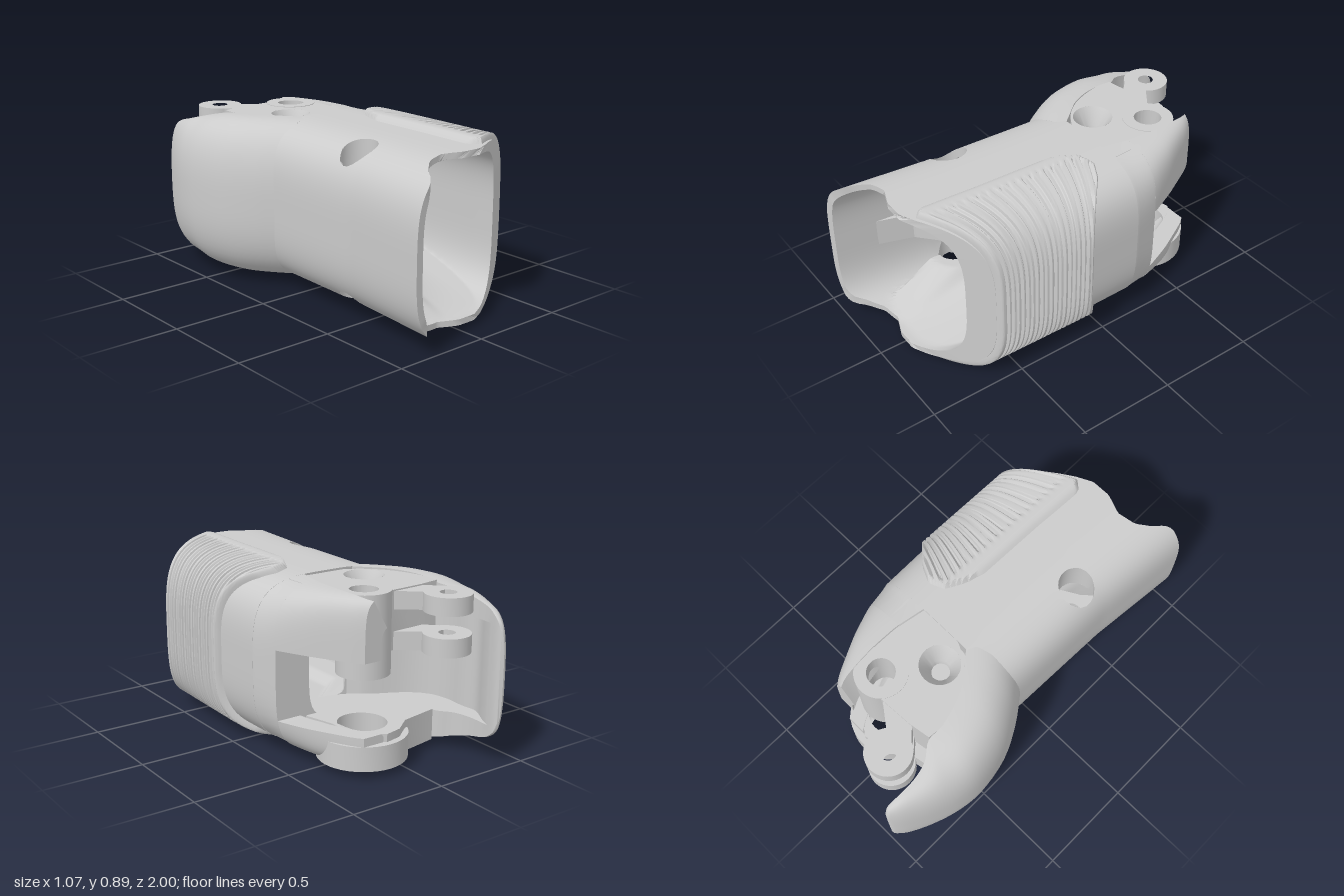
import * as THREE from 'three';
import { toCreasedNormals } from 'three/addons/utils/BufferGeometryUtils.js';

const YC = 0.445, N = 3.6, TAU = Math.PI * 2;
const mat = new THREE.MeshStandardMaterial({ color: 0xcccccc });
const matDouble = new THREE.MeshStandardMaterial({ color: 0xcccccc, side: THREE.DoubleSide });
const { lerp, clamp, smoothstep: smooth } = THREE.MathUtils;

// piecewise linear curve through [key, value] pairs
function look(table, k) {
  if (k <= table[0][0]) return table[0][1];
  for (let i = 1; i < table.length; i++) {
    const [k0, v0] = table[i - 1], [k1, v1] = table[i];
    if (k <= k1) return lerp(v0, v1, (k - k0) / (k1 - k0));
  }
  return table[table.length - 1][1];
}

// side limits along z, and the wavy front rim along x
const LEFT_EDGE = [[-0.1, -0.35], [0.5, -0.37], [1, -0.42]];
const RIGHT_EDGE = [[-0.75, 0.24], [-0.7, 0.28], [-0.5, 0.39], [-0.35, 0.46], [-0.2, 0.5], [0.1, 0.505], [0.6, 0.495]];
const RIM = [[-0.375, 1], [-0.31, 0.99], [-0.28, 0.965], [-0.25, 0.91], [-0.19, 0.85], [-0.1, 0.83], [0, 0.87], [0.1, 0.87], [0.18, 0.83], [0.5, 0.63]];

// rounded cross-section at z, squarer to the rear: insets from left, right and top/bottom
function section(z, l = 0, r = 0, t = 0) {
  const x0 = look(LEFT_EDGE, z) + l, x1 = look(RIGHT_EDGE, z) - r;
  return { cx: (x0 + x1) / 2, a: (x1 - x0) / 2, b: 0.415 - t, n: N + 4 * smooth(-z, 0.2, 0.74) };
}
function onSection(s, phi, scale = 1) {
  const c = Math.cos(phi), d = Math.sin(phi);
  const r = scale * Math.pow(Math.abs(c) ** s.n + Math.abs(d) ** s.n, -1 / s.n);
  return [s.cx + s.a * r * c, YC + s.b * r * d];
}
function heightAt(s, x, sign) {
  const u = Math.min(1, Math.abs((x - s.cx) / s.a));
  return YC + sign * s.b * Math.pow(1 - u ** s.n, 1 / s.n);
}

// skin over rows of points; cut points leave an opening
function skin(name, rows, closed, crease = 0.6) {
  const w = rows[0].length, pos = [], idx = [];
  rows.forEach(r => r.forEach(p => pos.push(p.x, p.y, p.z)));
  for (let i = 0; i < rows.length - 1; i++) for (let j = 0; j < (closed ? w : w - 1); j++) {
    const k = (j + 1) % w;
    if ([rows[i][j], rows[i][k], rows[i + 1][j], rows[i + 1][k]].every(p => p.cut)) continue;
    const a = i * w + j, b = i * w + k, c = a + w, d = b + w;
    idx.push(a, c, b, b, c, d);
  }
  const g = new THREE.BufferGeometry();
  g.setAttribute('position', new THREE.Float32BufferAttribute(pos, 3));
  g.setIndex(idx);
  const m = new THREE.Mesh(toCreasedNormals(g, crease), matDouble);
  m.name = name;
  return m;
}
// end cap: folds a loop of points onto its middle line
const fold = row => row.map((p, j) => p.clone().lerp(row[row.length - 1 - j], 0.5));

// flat part drawn in plan as [x, z] points, with [x, z, radius] holes
function plate(name, outline, y0, y1, holes = []) {
  const s = new THREE.Shape(outline.map(([x, z]) => new THREE.Vector2(x, -z)));
  for (const [x, z, r] of holes) s.holes.push(new THREE.Path().absarc(x, -z, r, 0, TAU, true));
  const g = new THREE.ExtrudeGeometry(s, { depth: y1 - y0, bevelEnabled: false, curveSegments: 32 });
  g.rotateX(-Math.PI / 2).translate(0, y0, 0);
  const m = new THREE.Mesh(toCreasedNormals(g, 0.5), mat);
  m.name = name;
  return m;
}
function arc(x, z, r, a0, a1, steps) {
  return Array.from({ length: steps }, (_, i) => {
    const a = lerp(a0, a1, i / (steps - 1));
    return [x + r * Math.cos(a), z + r * Math.sin(a)];
  });
}
function ring(name, x, z, r, hole, y0, y1) {
  return plate(name, arc(x, z, r, 0, TAU * 0.975, 40), y0, y1, [[x, z, hole]]);
}

// cavity roof and floor: tall channel on the left, thick at the pin, long ramps to the right
function thicken(x, y, z) {
  const end = lerp(0.55, 0.2, smooth(x, -0.2, 0.2));
  const thin = lerp(0.215, 0.25, smooth(x, -0.1, -0.03));
  const ramp = lerp(thin, 0.385, clamp((z - end) / (0.83 - end), 0, 1));
  const half = lerp(0.385, ramp, smooth(x, -0.285, -0.235));
  return clamp(y, YC - half, YC + half);
}

// hollow sleeve with a pin hole through top and bottom
const PIN = { x: -0.23, z: 0.41, r: 0.09 };
function sleeve(group) {
  const rows = [], T = 44, U = 160;
  const insets = [[0, 0, 0], [0.04, 0.13, 0.03]];
  const makeRow = (t, inset) => Array.from({ length: U }, (_, j) => {
    const phi = j / U * TAU, inside = inset[0] > 0;
    const rim = look(RIM, onSection(section(0.6, ...inset), phi)[0]);
    const z = lerp(rim, inside ? -0.05 : -0.2, t);
    const [x, y] = onSection(section(z, ...inset), phi);
    const p = new THREE.Vector3(x, y, z), d = Math.hypot(x - PIN.x, z - PIN.z);
    if (d < PIN.r) {
      p.x = PIN.x + (x - PIN.x) / (d || 1) * PIN.r;
      p.z = PIN.z + (z - PIN.z) / (d || 1) * PIN.r;
      p.y = heightAt(section(p.z, ...inset), p.x, Math.sign(y - YC));
      p.cut = true;
    }
    if (inside) p.y = thicken(p.x, p.y, p.z);
    return p;
  });
  for (let i = 0; i <= T; i++) rows.push(makeRow(i / T, insets[0]));
  // rear opening, narrower than the cavity
  const mouth = { cx: 0.15, a: 0.21, b: 0.25, n: 12 };
  rows.push(Array.from({ length: U }, (_, j) => new THREE.Vector3(...onSection(mouth, j / U * TAU), -0.18)));
  for (let i = T; i >= 0; i--) rows.push(makeRow(i / T, insets[1]));
  rows.push(rows[0]);
  group.add(skin('sleeve', rows, true));
  for (const sign of [1, -1]) {
    const wall = insets.map(inset => arc(PIN.x, PIN.z, PIN.r, 0, TAU * 0.975, 40).map(([x, z]) => {
      const y = heightAt(section(z, ...inset), x, sign);
      return new THREE.Vector3(x, inset[0] ? thicken(x, y, z) : y, z);
    }));
    group.add(skin('pinHoleWall', wall, true));
  }
}

// raised grip pad with fanned ribs wrapping round the right side
function grip() {
  const back = [[0.1, 0.2], [0.15, 0.03], [0.2, -0.06], [0.28, -0.09], [0.36, -0.05], [0.5, 0.08]];
  const front = [[0.1, 0.7], [0.13, 0.79], [0.17, 0.825], [0.5, 0.635]];
  const ribBack = [[0.15, -0.03], [0.5, 0.11]], ribFront = [[0.15, 0.8], [0.5, 0.615]];
  const V = 190, U = 96, ribs = 19, rows = [];
  for (let i = 0; i <= V; i++) {
    const w = lerp(-0.12, 1.18, i / V), row = [];
    for (let j = 0; j <= U; j++) {
      const u = j / U, phi = lerp(1.46, -1.46, u), eu = Math.min(u, 1 - u);
      const x0 = onSection(section(0.3), phi)[0], zf = look(front, x0), zb = look(back, x0);
      const z = clamp(lerp(look(ribFront, x0), look(ribBack, x0), w), zb, zf), ez = Math.min(zf - z, z - zb);
      const edge = Math.sqrt(smooth(eu, 0, 0.03) * smooth(ez, 0, 0.025));
      const field = smooth(eu, 0.055, 0.085) * smooth(ez, 0.025, 0.05);
      const wave = 0.5 + 0.5 * Math.cos(w * ribs * TAU);
      const off = -0.006 + 0.036 * edge - 0.016 * field * smooth(wave, 0.3, 0.85);
      row.push(new THREE.Vector3(...onSection(section(z), phi, 1 + off / 0.42), z));
    }
    rows.push(row);
  }
  return skin('ribbedGrip', rows, false, 0.5);
}

// curved wall strip behind the sleeve on the right; angle ranges are functions of z
const SHOULDER = [[-0.74, 0.85], [-0.17, 1.3]];
function rearWall(name, from, to, z0, z1, thick) {
  const rows = [], S = 14, P = 24;
  for (let i = 0; i <= S; i++) {
    const z = lerp(z0, z1, i / S), s = section(z), inner = { ...s, a: s.a - thick, b: s.b - 0.14 };
    const row = [], angle = j => lerp(from(z), to(z), j / P);
    for (let j = 0; j <= P; j++) row.push(new THREE.Vector3(...onSection(s, angle(j)), z));
    const ys = row.map(p => p.y), low = Math.min(...ys), high = Math.max(...ys);
    for (let j = P; j >= 0; j--) {
      const [x, y] = onSection(inner, angle(j));
      row.push(new THREE.Vector3(x, clamp(y, low, high), z));
    }
    rows.push(row);
  }
  return skin(name, [fold(rows[0]), ...rows, fold(rows[S])], true);
}

// horn-shaped guard on the left with a pocket: [outer x, z, inner x, z, half height]
function horn() {
  const keys = [
    [-0.34, -0.08, -0.06, -0.17, 0.41], [-0.42, -0.19, -0.125, -0.25, 0.412], [-0.5, -0.35, -0.21, -0.36, 0.412],
    [-0.535, -0.55, -0.265, -0.52, 0.405], [-0.525, -0.67, -0.27, -0.63, 0.39], [-0.5, -0.76, -0.325, -0.71, 0.37],
    [-0.46, -0.86, -0.345, -0.8, 0.345], [-0.41, -0.95, -0.342, -0.91, 0.315], [-0.37, -0.995, -0.335, -0.97, 0.27], [-0.355, -1, -0.34, -0.99, 0.22]];
  const outer = new THREE.CatmullRomCurve3(keys.map(k => new THREE.Vector3(k[0], k[4], k[1])));
  const inner = new THREE.CatmullRomCurve3(keys.map(k => new THREE.Vector3(k[2], 0, k[3])));
  const rows = [], S = 36;
  for (let i = 0; i <= S; i++) {
    const p = outer.getPoint(i / S), q = inner.getPoint(i / S);
    const at = (k, y) => new THREE.Vector3(lerp(q.x, p.x, k), y, lerp(q.z, p.z, k));
    const row = [];
    for (let j = 0; j <= 36; j++) row.push(at(...onSection({ cx: 0, a: 1, b: p.y, n: 2.8 }, lerp(-Math.PI / 2, Math.PI / 2, j / 36))));
    const depth = 0.6 * smooth(i / S, 0.1, 0.3) * (1 - smooth(i / S, 0.55, 0.85)), h = Math.min(0.25, p.y * 0.8);
    row.push(at(0, YC + h), at(depth, YC + h), at(depth, YC - h), at(0, YC - h));
    rows.push(row);
  }
  return skin('hornGuard', [fold(rows[0]), ...rows, fold(rows[S])], true);
}

export function createModel() {
  const model = new THREE.Group();
  sleeve(model);
  model.add(grip(), horn());
  const top = z => look(SHOULDER, z), bottom = z => -top(z);
  model.add(rearWall('rearWallFront', top, bottom, -0.17, -0.34, 0.19));
  model.add(rearWall('rearWallUpper', top, () => 0.27, -0.34, -0.74, 0.09));
  model.add(rearWall('rearWallLower', () => -0.53, bottom, -0.34, -0.74, 0.09));

  // hinge plates above and below the clearance space
  const HX = 0.12, HZ = -0.56;
  const base = [...arc(HX, HZ, 0.39, 3.3, 1.1, 20), [0.29, -0.35], [0.25, -0.5]];
  model.add(plate('upperHingePlate', [...base, [0.22, -0.6], [0.19, -0.66], [0.12, -0.685], [0.03, -0.65], [-0.15, -0.64]],
    0.56, 0.849, [[HX, HZ, 0.07], [-0.05, -0.34, 0.1]]));
  model.add(plate('lowerHingePlate', [...base, [0.25, -0.56], [0.22, -0.68], [0.12, -0.75], [0.03, -0.73], [-0.06, -0.66]],
    0.041, 0.2, [[HX, HZ, 0.12]]));
  model.add(ring('hingeBoss', HX, HZ, 0.13, 0.07, 0.45, 0.852));
  model.add(ring('lowerHingeDisc', HX, HZ, 0.22, 0.12, 0.038, 0.16));

  // countersunk screw seat
  const cup = new THREE.LatheGeometry([[0, 0.735], [0.045, 0.735], [0.05, 0.765], [0.1, 0.849]].map(p => new THREE.Vector2(...p)), 32);
  const seat = new THREE.Mesh(toCreasedNormals(cup, 0.5), matDouble);
  seat.position.set(-0.05, 0, -0.34);
  seat.name = 'screwSeat';
  model.add(seat);

  // pair of small lugs carried on arms from the hinge
  for (const [y0, y1] of [[0.755, 0.842], [0.56, 0.65]]) {
    model.add(ring('lug', -0.18, -0.8, 0.115, 0.04, y0, y1));
    model.add(plate('lugArm', [[-0.24, -0.71], [-0.16, -0.735], [-0.1, -0.735], [0.04, -0.63], [0.03, -0.53], [-0.06, -0.6], [-0.17, -0.64]], y0, y1));
  }

  // pin bracket inside the sleeve
  model.add(plate('pinBracket', [[-0.395, 0.89], [-0.3, 0.6], [-0.2, 0.51], [-0.11, 0.46], [-0.06, 0.37], [-0.09, 0.28], [-0.2, 0.2], [-0.34, 0.02], [-0.36, 0.4]],
    0.35, 0.495, [[PIN.x, PIN.z, 0.045]]));
  return model;
}
